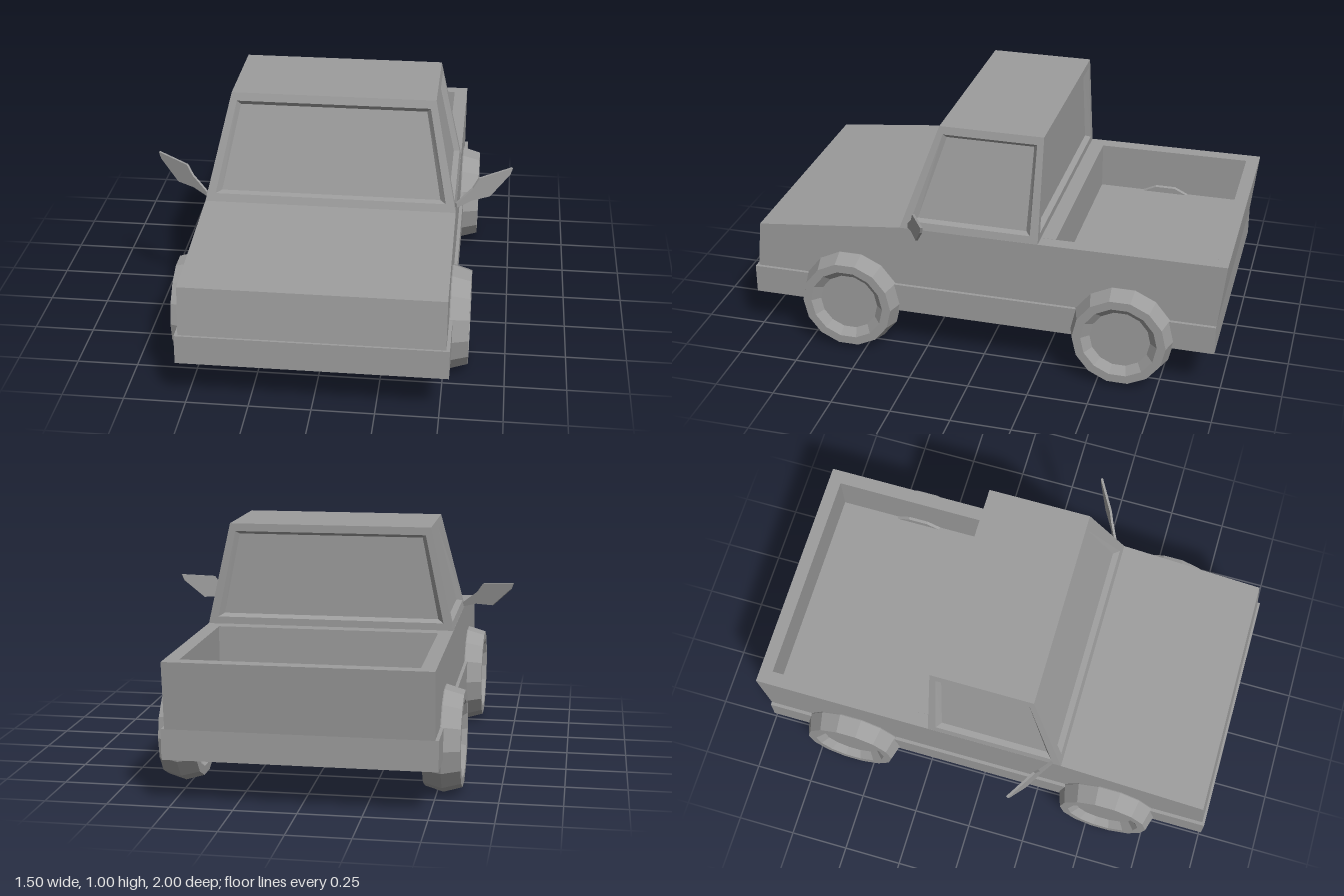
import * as THREE from 'three';

const V = (x, y, z) => new THREE.Vector3(x, y, z);
const grey = new THREE.MeshStandardMaterial({ color: 0x9c9c9c, flatShading: true });
const thin = new THREE.MeshStandardMaterial({ color: 0x9c9c9c, flatShading: true, side: THREE.DoubleSide });

function add(parent, name, geometry, material = grey) {
  const mesh = new THREE.Mesh(geometry, material);
  mesh.name = name;
  parent.add(mesh);
  return mesh;
}

// Side profile of [z, y] points, extruded across x from x0 to x1
function sideExtrude(points, x0, x1) {
  const shape = new THREE.Shape(points.map(([z, y]) => new THREE.Vector2(z, y)));
  const g = new THREE.ExtrudeGeometry(shape, { depth: x1 - x0, bevelEnabled: false });
  return g.rotateY(-Math.PI / 2).translate(x1, 0, 0);
}

// Triangles from quads whose corners run counter-clockwise
function quads(list) {
  const pts = list.flatMap(([a, b, c, d]) => [a, b, c, a, c, d]);
  const g = new THREE.BufferGeometry().setFromPoints(pts);
  g.computeVertexNormals();
  return g;
}

// Frame with a bevelled, recessed pane; corners: bottom left, bottom right, top right, top left
function windowPanel([a, b, c, d], mu) {
  const mv = 0.075, depth = 0.022;
  const at = (u, v) => a.clone().lerp(b, u).lerp(d.clone().lerp(c, u), v);
  const ring = (u, v) => [at(u, v), at(1 - u, v), at(1 - u, 1 - v), at(u, 1 - v)];
  const normal = b.clone().sub(a).cross(d.clone().sub(a)).normalize();
  const outer = [a, b, c, d];
  const edge = ring(mu, mv);
  const pane = ring(mu * 1.6, mv * 1.4).map(p => p.addScaledVector(normal, -depth));
  const list = [pane];
  for (let i = 0; i < 4; i++) {
    const j = (i + 1) % 4;
    list.push([outer[i], outer[j], edge[j], edge[i]], [edge[i], edge[j], pane[j], pane[i]]);
  }
  return quads(list);
}

export function createModel() {
  const truck = new THREE.Group();
  truck.name = 'pickupTruck';

  // Lower skirt with bumpers
  add(truck, 'skirt', new THREE.BoxGeometry(1.07, 0.122, 1.97).translate(0, 0.248, 0.015));

  // Body: a centre section with the bed cut down, and a full-height panel on each side
  const nose = [[-0.97, 0.309], [0.99, 0.309], [0.97, 0.51], [0.35, 0.575]];
  const bed = [[-0.295, 0.578], [-0.295, 0.38], [-0.945, 0.38], [-0.945, 0.58]];
  const tail = [[-1, 0.58]];
  add(truck, 'bodyWithBed', sideExtrude([...nose, ...bed, ...tail], -0.462, 0.462));
  add(truck, 'leftBodySide', sideExtrude([...nose, ...tail], 0.462, 0.521));
  add(truck, 'rightBodySide', sideExtrude([...nose, ...tail], -0.521, -0.462));

  // Cab: four framed windows and a roof
  const cab = new THREE.Group();
  cab.name = 'cab';
  truck.add(cab);
  const low = (s, z) => V(s * 0.521, 0.575, z);
  const high = (s, z) => V(s * 0.423, 1.007, z);
  const F = 0.35, T = 0.2, R = -0.233;
  add(cab, 'windscreen', windowPanel([low(-1, F), low(1, F), high(1, T), high(-1, T)], 0.034));
  add(cab, 'rearWindow', windowPanel([low(1, R), low(-1, R), high(-1, R), high(1, R)], 0.034));
  add(cab, 'leftWindow', windowPanel([low(1, F), low(1, R), high(1, R), high(1, T)], 0.06));
  add(cab, 'rightWindow', windowPanel([low(-1, R), low(-1, F), high(-1, T), high(-1, R)], 0.06));
  add(cab, 'roof', quads([[high(-1, T), high(1, T), high(1, R), high(-1, R)]]));

  // Wheels: ridged tread with a dished face on both sides
  const half = [[0, 0.045], [0.125, 0.045], [0.157, 0.075], [0.193, 0.075]];
  const profile = [
    ...half.map(([r, h]) => new THREE.Vector2(r, -h)),
    new THREE.Vector2(0.215, 0),
    ...half.map(([r, h]) => new THREE.Vector2(r, h)).reverse(),
  ];
  const wheelGeometry = new THREE.LatheGeometry(profile, 14).rotateZ(Math.PI / 2);
  for (const [end, z] of [['front', 0.57], ['rear', -0.59]]) {
    for (const [side, s] of [['Left', 1], ['Right', -1]]) {
      add(truck, end + side + 'Wheel', wheelGeometry).position.set(s * 0.525, 0.217, z);
    }
  }

  // Wing mirrors: thin plates on a narrow stem, swept backwards
  const outline = [[0, 0.58], [0.06, 0.6], [0.135, 0.603], [0.215, 0.685], [0.225, 0.713], [0.09, 0.695], [0.065, 0.655], [0, 0.6]];
  const sweep = Math.PI / 6;
  const plate = new THREE.Shape(outline.map(([x, y]) => new THREE.Vector2(x / Math.cos(sweep), y)));
  for (const [side, s] of [['left', 1], ['right', -1]]) {
    const g = new THREE.ExtrudeGeometry(plate, { depth: 0.01, bevelEnabled: false });
    g.translate(0, 0, -0.005).rotateY(sweep).translate(0.52, 0, 0.31);
    if (s < 0) g.scale(-1, 1, 1);
    add(truck, side + 'Mirror', g, thin);
  }

  return truck;
}
